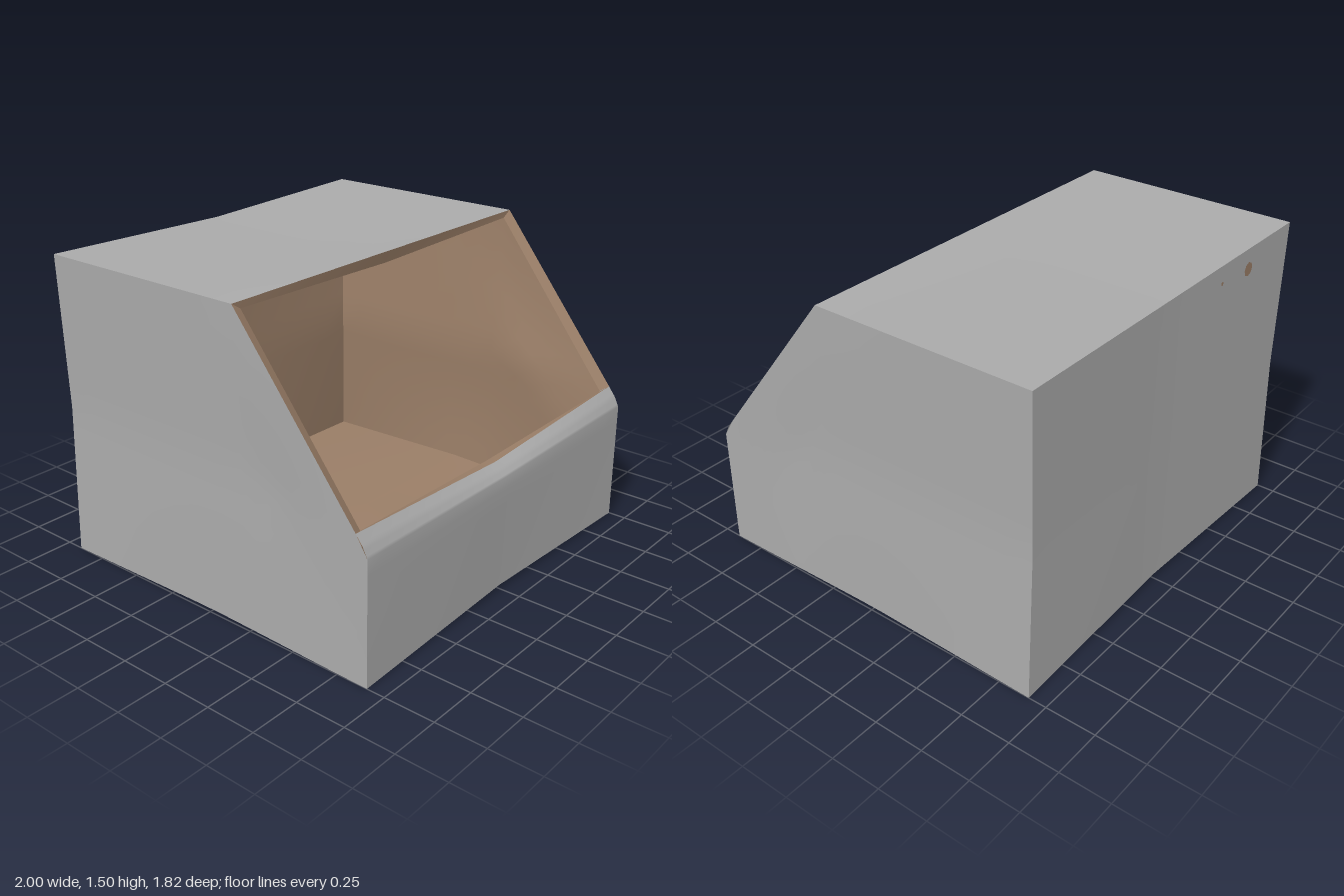
import * as THREE from 'three';

const grey = new THREE.MeshStandardMaterial({ color: 0xaaaaaa, side: THREE.DoubleSide });
grey.name = 'grey shell';
const brown = new THREE.MeshStandardMaterial({ color: 0x9a7e67, side: THREE.DoubleSide });
brown.name = 'brown lining';

const mix = THREE.MathUtils.lerp;
const clamp = THREE.MathUtils.clamp;
const either = (a, b) => 1 - (1 - a) * (1 - b);

// Nearness to the middle of each axis, height from the middle, nearness to the floor,
// and distance behind the sloped opening
function measure([x, y, z]) {
  const h = (y - 0.75) / 0.75;
  return {
    tx: clamp(1 - Math.abs(x), 0, 1),
    ty: clamp(1 - Math.abs(h), 0, 1),
    tz: clamp(1 - Math.abs(z) / 0.91, 0, 1),
    h,
    low: clamp(-h, 0, 1),
    k: clamp((0.21 + (1.5 - y) * 0.778 - z) / 0.4, 0, 1),
  };
}

// Outer walls sag inward slightly; the front edges stay straight
function outer(p) {
  const { tx, ty, tz, h, low, k } = measure(p);
  const [x, y, z] = p;
  const side = 0.02 * k * clamp((0.91 - z) / 0.5, 0, 1) * either(ty, 0.5 * tz * low);
  const rise = h > 0 ? 0.02 * k * tx : 0.02 * either(tx, 0.5 * tz);
  const push = z < 0 ? 0.022 * either(tx, 0.2 * ty) : 0.022 * tx * low;
  return [x * (1 - side), y - h * rise, z * (1 - push)];
}

// Lining walls sag further
function inner(p) {
  const { tx, ty, tz, h, low, k } = measure(p);
  const [x, y, z] = p;
  const side = 0.07 * Math.max(k, 0.05) * either(ty, tz * low);
  const rise = h > 0 ? mix(0.025, 0.065, k) * tx : 0.065 * either(tx, tz);
  const push = z < 0 ? 0.07 * either(tx, ty) : 0.055 * tx;
  return [x * (1 - side), y - h * rise, z * (1 - push)];
}

// Grid surface from a function of u and v
function sheet(name, material, nu, nv, fn) {
  const pos = [], idx = [];
  for (let j = 0; j <= nv; j++)
    for (let i = 0; i <= nu; i++) pos.push(...fn(i / nu, j / nv));
  for (let j = 0; j < nv; j++)
    for (let i = 0; i < nu; i++) {
      const a = j * (nu + 1) + i, b = a + nu + 1;
      idx.push(a, a + 1, b + 1, a, b + 1, b);
    }
  const g = new THREE.BufferGeometry();
  g.setAttribute('position', new THREE.Float32BufferAttribute(pos, 3));
  g.setIndex(idx);
  g.computeVertexNormals();
  const m = new THREE.Mesh(g, material);
  m.name = name;
  return m;
}

// Point on a polyline of [z, y] pairs
function along(pts, t) {
  const s = t * (pts.length - 1), i = Math.min(Math.floor(s), pts.length - 2);
  return [mix(pts[i][0], pts[i + 1][0], s - i), mix(pts[i][1], pts[i + 1][1], s - i)];
}

// Wall swept across the width along a [z, y] path
function crossWall(name, material, warp, half, path, nv) {
  return sheet(name, material, 16, nv, (u, v) => {
    const [z, y] = along(path, v);
    return warp([mix(-half, half, u), y, z]);
  });
}

// Lets the lip dip and lean back towards its middle, above height "from"
const dipped = (warp, from, to, lean) => ([x, y, z]) => {
  const t = clamp((y - from) / (to - from), 0, 1) * (1 - Math.abs(x));
  const p = warp([x, y, z]);
  return [p[0], p[1] - 0.062 * t, p[2] - lean * t];
};
const outerLip = dipped(outer, 0.55, 0.695, 0.015);
const innerLip = dipped(inner, 0.4, 0.68, 0);

// Side wall standing between the floor height and a [z, y] top path
function sideWall(name, material, warp, x, floor, path, backward) {
  return sheet(name, material, (path.length - 1) * 8, 12, (u, v) => {
    const [z, y] = along(path, backward ? 1 - u : u);
    return warp([x, mix(floor, y, v), z]);
  });
}

// Strip joining an edge of the shell to the matching edge of the lining
function rim(name, outerEdge, innerEdge) {
  return sheet(name, brown, 16, 1, (u, v) => {
    const i = innerEdge(u);
    return outerEdge(u).map((c, n) => mix(i[n], c, v));
  });
}

export function createModel() {
  const bin = new THREE.Group();
  bin.name = 'openFrontBin';

  // Grey outer shell
  bin.add(
    crossWall('outerBottom', grey, outer, 1, [[-0.91, 0], [0.91, 0]], 12),
    crossWall('outerBack', grey, outer, 1, [[-0.91, 1.5], [-0.91, 0]], 12),
    crossWall('outerTop', grey, outer, 1, [[0.21, 1.5], [-0.91, 1.5]], 12),
    crossWall('outerFrontAndLip', grey, outerLip, 1,
      [[0.91, 0], [0.91, 0.3], [0.91, 0.6], [0.885, 0.65], [0.85, 0.695]], 16),
  );

  // Brown lining
  bin.add(
    crossWall('innerFloor', brown, inner, 0.95, [[0.86, 0.04], [-0.86, 0.04]], 12),
    crossWall('innerBack', brown, inner, 0.95, [[-0.86, 0.04], [-0.87, 1.47]], 12),
    crossWall('innerCeiling', brown, inner, 0.95, [[-0.87, 1.47], [0.21, 1.47]], 12),
    crossWall('innerFront', brown, innerLip, 0.95, [[0.83, 0.68], [0.86, 0.04]], 12),
  );

  // Side walls and the sloped rims beside the opening
  const outerSide = [[-0.91, 1.5], [0.21, 1.5], [0.85, 0.695], [0.91, 0.6]];
  const innerSide = [[-0.87, 1.47], [0.21, 1.47], [0.83, 0.68], [0.86, 0.04]];
  for (const s of [-1, 1]) {
    const side = s > 0 ? 'left' : 'right';
    const t = (u) => (s > 0 ? 1 - u : u);
    bin.add(
      sideWall(side + 'OuterSide', grey, outer, s, 0, outerSide, s > 0),
      sideWall(side + 'InnerSide', brown, inner, s * 0.95, 0.04, innerSide, s < 0),
      rim(side + 'Rim',
        (u) => outer([s, mix(1.5, 0.695, t(u)), mix(0.21, 0.85, t(u))]),
        (u) => inner([s * 0.95, mix(1.47, 0.68, t(u)), mix(0.21, 0.83, t(u))])),
    );
  }

  // Rims along the top of the opening and along the lip
  bin.add(
    rim('topRim',
      (u) => outer([mix(-1, 1, u), 1.5, 0.21]),
      (u) => inner([mix(-0.95, 0.95, u), 1.47, 0.21])),
    rim('lipRim',
      (u) => outerLip([mix(1, -1, u), 0.695, 0.85]),
      (u) => innerLip([mix(0.95, -0.95, u), 0.68, 0.83])),
  );

  // Small worn spots on the back
  for (const [x, y, r] of [[-0.63, 1.39, 0.035], [-0.4, 1.4, 0.01]]) {
    const spot = new THREE.Mesh(new THREE.CircleGeometry(r, 8), brown);
    spot.name = 'wornSpot';
    spot.rotation.y = Math.PI;
    spot.position.set(x, y, outer([x, y, -0.91])[2] - 0.003);
    bin.add(spot);
  }
  return bin;
}
